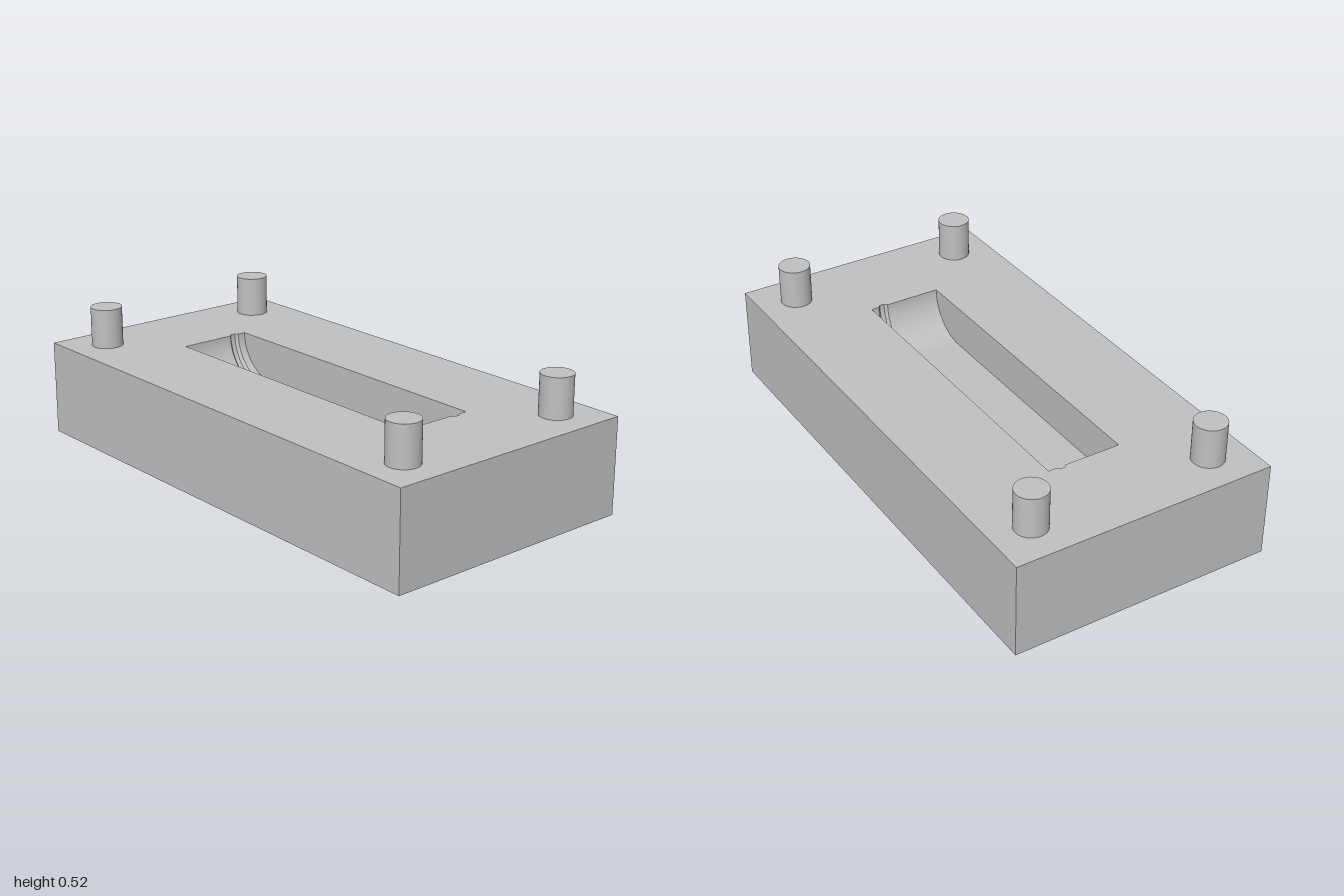
import * as THREE from 'three';

const W = 0.512, H = 0.368, L = 1;             // block half width, height, half length
const SLOT_X = 0.145, SLOT_Z = 0.625, R = 0.165; // cavity half width, half length, end radius

// Cross-section of the cavity floor: x position and extra depth (small groove on one side)
const profile = [[-SLOT_X, 0], [0.075, 0], [0.085, 0.011], [0.104, 0.011], [0.114, 0], [SLOT_X, 0]];

// Lengthwise cavity path [z, y]: quarter round, flat floor, quarter round
function cavityPath(extra) {
  const pts = [], n = 24, r = R + extra, c = SLOT_Z - R;
  for (const side of [-1, 1]) {
    for (let i = 0; i <= n; i++) {
      const a = (side < 0 ? i : n - i) / n * Math.PI / 2;
      pts.push([side * (c + r * Math.cos(a)), H - r * Math.sin(a)]);
    }
  }
  return pts;
}

// Strip between two neighbouring profile points, smooth along its length
function strip([x0, d0], [x1, d1]) {
  const p0 = cavityPath(d0), p1 = cavityPath(d1), pos = [], idx = [];
  p0.forEach(([z, y], i) => {
    pos.push(x0, y, z, x1, p1[i][1], p1[i][0]);
    if (i) {
      const a = 2 * i - 2;
      idx.push(a, a + 2, a + 1, a + 1, a + 2, a + 3);
    }
  });
  const g = new THREE.BufferGeometry();
  g.setAttribute('position', new THREE.Float32BufferAttribute(pos, 3));
  g.setIndex(idx);
  g.computeVertexNormals();
  return g;
}

export function createModel() {
  const group = new THREE.Group();
  const grey = new THREE.MeshStandardMaterial({ color: 0xc0c0c0 });
  grey.name = 'grey';
  const add = (name, geometry, x = 0, y = 0, z = 0) => {
    const mesh = new THREE.Mesh(geometry, grey);
    mesh.name = name;
    mesh.position.set(x, y, z);
    group.add(mesh);
  };

  // Block sides and underside (box without its top face)
  const box = new THREE.BoxGeometry(2 * W, H, 2 * L);
  const index = Array.from(box.index.array);
  index.splice(12, 6);
  box.setIndex(index);
  box.clearGroups();
  add('blockSides', box, 0, H / 2, 0);

  // Top face with the cavity opening
  const top = new THREE.Shape([[-W, -L], [W, -L], [W, L], [-W, L]].map(p => new THREE.Vector2(...p)));
  const rim = [
    ...profile.map(([x, d]) => new THREE.Vector2(x, SLOT_Z + d)),
    ...profile.map(([x, d]) => new THREE.Vector2(x, -SLOT_Z - d)).reverse(),
  ];
  top.holes.push(new THREE.Path(rim));
  add('blockTop', new THREE.ShapeGeometry(top).rotateX(-Math.PI / 2), 0, H, 0);

  // Cavity floor with rounded ends and groove
  for (let i = 1; i < profile.length; i++) add('cavityFloor', strip(profile[i - 1], profile[i]));

  // Flat cavity side walls
  const wall = new THREE.Shape(cavityPath(0).map(p => new THREE.Vector2(...p)));
  for (const s of [-1, 1]) {
    add('cavityWall', new THREE.ShapeGeometry(wall).rotateY(-s * Math.PI / 2), s * SLOT_X);
  }

  // Four locating pegs
  const pegHeight = 0.154;
  for (const sx of [-1, 1]) for (const sz of [-1, 1]) {
    add('peg', new THREE.CylinderGeometry(0.061, 0.061, pegHeight, 48), sx * 0.36, H + pegHeight / 2, sz * 0.848);
  }
  return group;
}
